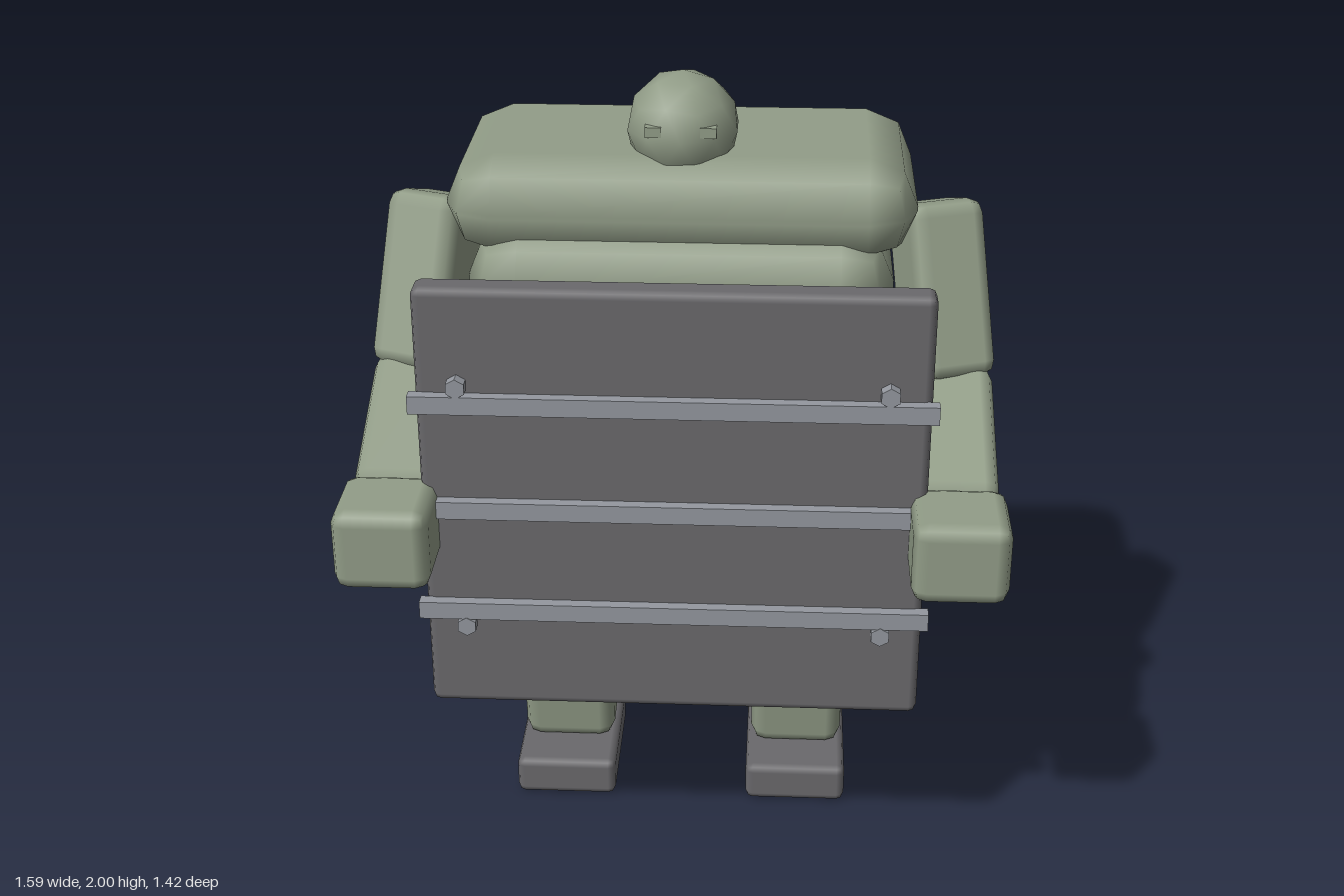
import * as THREE from 'three';
import { RoundedBoxGeometry } from 'three/addons/geometries/RoundedBoxGeometry.js';

const mat = (name, color) => {
  const m = new THREE.MeshStandardMaterial({ color });
  m.name = name;
  return m;
};

export function createModel() {
  const green = mat('sage green', 0x929d88);
  const dark = mat('dark grey', 0x6a696c);
  const steel = mat('steel grey', 0x94989f);
  const orange = mat('ochre', 0xcb9d58);
  const model = new THREE.Group();
  model.name = 'shieldRobot';

  const add = (name, geometry, material, x = 0, y = 0, z = 0) => {
    const mesh = new THREE.Mesh(geometry, material);
    mesh.name = name;
    mesh.position.set(x, y, z);
    model.add(mesh);
    return mesh;
  };

  // Box with a two-facet bevel, given by its centre and size
  const block = (name, material, [x, y, z], [w, h, d], r) =>
    add(name, new RoundedBoxGeometry(w, h, d, 1, r), material, x, y, z);

  // Bevelled limb between two points, turned towards the way it leans
  const limb = (name, material, a, b, w, d, r) => {
    const from = new THREE.Vector3(...a), to = new THREE.Vector3(...b);
    const up = from.clone().sub(to);
    const length = up.length();
    up.normalize();
    const mid = from.add(to).multiplyScalar(0.5);
    const mesh = block(name, material, mid.toArray(), [w, length, d], r);
    const yaw = Math.abs(up.x) < 1e-6 ? 0 : Math.atan2(up.x, up.z);
    const lean = Math.acos(up.y) * (yaw === 0 ? Math.sign(up.z) : 1);
    mesh.rotation.set(lean, yaw, 0, 'YXZ');
    return mesh;
  };

  // Low-poly ball with a vertex at its top
  const ball = (name, material, [x, y, z], [sx, sy, sz]) => {
    const g = new THREE.IcosahedronGeometry(1, 1);
    g.rotateX(-Math.atan((1 + Math.sqrt(5)) / 2)).rotateY(Math.PI / 2);
    g.scale(sx, sy, sz);
    return add(name, g, material, x, y, z);
  };

  // Body
  block('pelvis', dark, [0, 0.96, -0.035], [0.62, 0.25, 0.55], 0.06);
  block('torso', green, [0, 1.335, -0.05], [1.04, 0.63, 0.71], 0.13);
  block('shoulders', green, [0, 1.69, -0.068], [1.146, 0.25, 0.64], 0.12);
  ball('head', green, [0, 1.86, 0.04], [0.14, 0.14, 0.147]);

  // Paired parts
  for (const [side, s] of [['left', 1], ['right', -1]]) {
    add(side + 'Eye', new THREE.BoxGeometry(0.04, 0.025, 0.03), green, s * 0.066, 1.882, 0.155);
    limb(side + 'UpperArm', green, [s * 0.625, 1.645, -0.06], [s * 0.675, 1.22, 0.075], 0.2, 0.2, 0.04);
    limb(side + 'Forearm', green, [s * 0.68, 1.205, 0.075], [s * 0.68, 1.03, 0.455], 0.2, 0.165, 0.035);
    block(side + 'Hand', green, [s * 0.68, 1.017, 0.592], [0.23, 0.205, 0.23], 0.035);
    limb(side + 'Thigh', dark, [s * 0.24, 0.915, -0.04], [s * 0.305, 0.485, 0.03], 0.25, 0.25, 0.05);
    limb(side + 'Shin', green, [s * 0.312, 0.465, 0.02], [s * 0.312, 0.115, -0.027], 0.245, 0.235, 0.04);
    block(side + 'Foot', dark, [s * 0.312, 0.056, 0.022], [0.268, 0.106, 0.385], 0.02);
  }

  // Shield with cross straps and bolts
  block('shield', dark, [0, 1.062, 0.492], [1.21, 1.115, 0.085], 0.02);
  for (const y of [1.338, 1.062, 0.785])
    add('shieldStrap', new THREE.BoxGeometry(1.24, 0.045, 0.032), steel, 0, y, 0.547);
  for (const x of [-0.505, 0.505])
    for (const y of [1.382, 0.742]) {
      const bolt = new THREE.CylinderGeometry(0.025, 0.025, 0.035, 6).toNonIndexed();
      bolt.computeVertexNormals();
      add('shieldBolt', bolt.rotateX(Math.PI / 2), steel, x, y, 0.547);
    }

  // Pack floating behind the torso, with three round lumps
  block('pack', orange, [0, 1.275, -0.543], [0.545, 0.455, 0.18], 0.035);
  ball('packLump', orange, [0.165, 1.385, -0.615], [0.08, 0.08, 0.075]);
  ball('packLump', orange, [0, 1.285, -0.615], [0.105, 0.095, 0.097]);
  ball('packLump', orange, [-0.15, 1.16, -0.615], [0.08, 0.075, 0.078]);

  return model;
}
